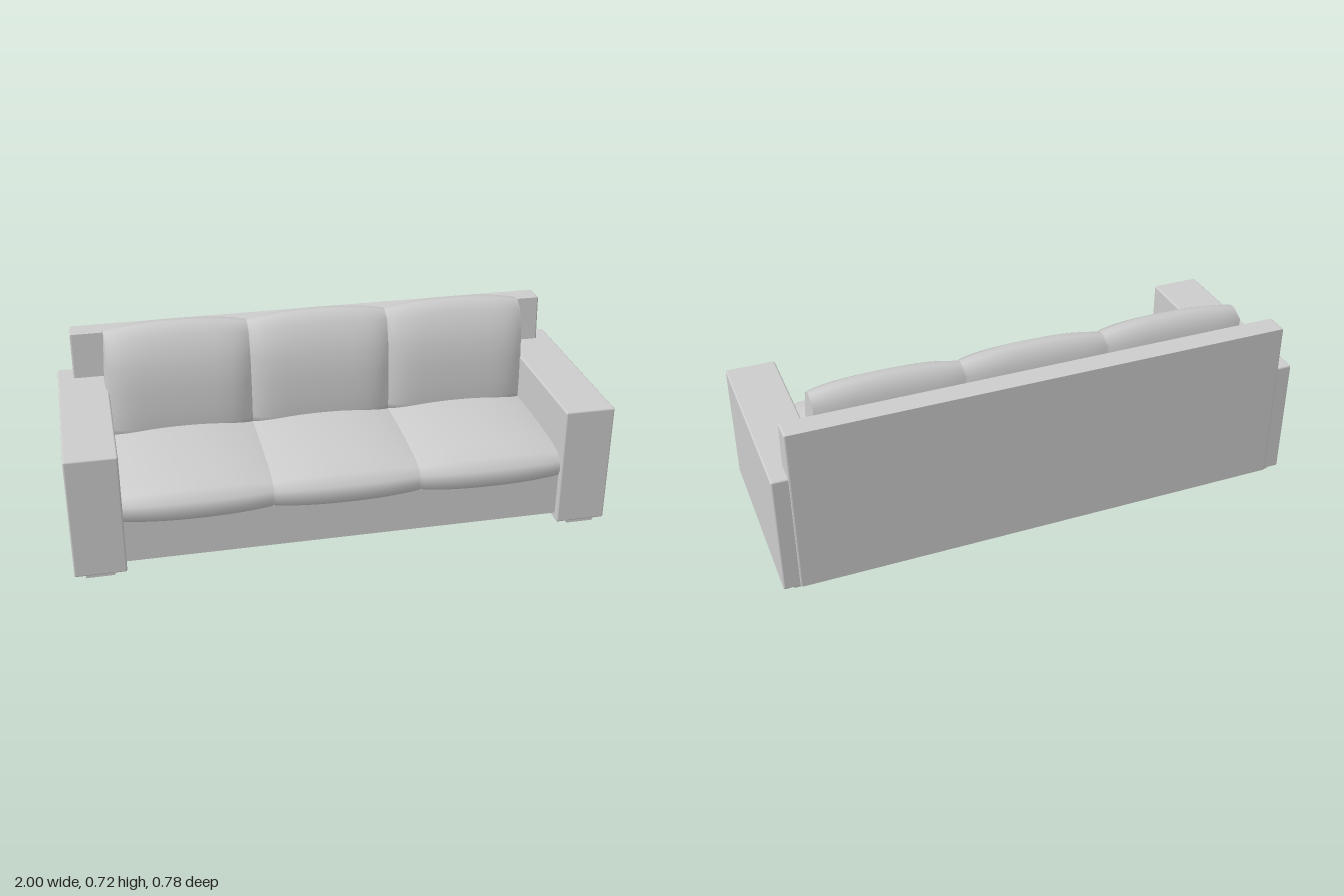
import * as THREE from 'three';
import { RoundedBoxGeometry } from 'three/addons/geometries/RoundedBoxGeometry.js';

const material = new THREE.MeshStandardMaterial({ color: 0xcccccc });

function addMesh(parent, name, geometry) {
  const mesh = new THREE.Mesh(geometry, material);
  mesh.name = name;
  parent.add(mesh);
  return mesh;
}

// Box given by its lower and upper limits, with softened edges when r > 0
function addBox(parent, name, [x0, x1], [y0, y1], [z0, z1], r = 0) {
  const size = [x1 - x0, y1 - y0, z1 - z0];
  const geometry = r ? new RoundedBoxGeometry(...size, 2, r) : new THREE.BoxGeometry(...size);
  addMesh(parent, name, geometry).position.set((x0 + x1) / 2, (y0 + y1) / 2, (z0 + z1) / 2);
}

// Cushion lofted along x: swells from the edge outline to the middle outline.
// Outlines are [z, y] points running from the front bottom over the top to the back.
// A higher depthPower keeps the front flat for longer before it rounds off at the ends.
function cushionGeometry(middle, edge, halfWidth, depthPower, capBulge) {
  const steps = 24, n = middle.length;
  const positions = [], indices = [];
  for (let i = 0; i <= steps; i++) {
    const u = -Math.cos((i / steps) * Math.PI);
    const swellZ = 1 - Math.abs(u) ** depthPower;
    const swellY = 1 - Math.abs(u) ** 2.3;
    for (let j = 0; j < n; j++) {
      const z = THREE.MathUtils.lerp(edge[j][0], middle[j][0], swellZ);
      const y = THREE.MathUtils.lerp(edge[j][1], middle[j][1], swellY);
      positions.push(u * halfWidth, y, z);
    }
  }
  for (let i = 0; i < steps; i++) {
    for (let j = 0; j < n; j++) {
      const a = i * n + j, b = i * n + (j + 1) % n;
      indices.push(a, a + n, b, b, a + n, b + n);
    }
  }
  // Slightly domed end caps with their own vertices, so the seam stays crisp
  const cz = edge.reduce((s, p) => s + p[0], 0) / n;
  const cy = edge.reduce((s, p) => s + p[1], 0) / n;
  for (const side of [-1, 1]) {
    const start = positions.length / 3;
    for (const [z, y] of edge) positions.push(side * halfWidth, y, z);
    positions.push(side * (halfWidth + capBulge), cy, cz);
    for (let j = 0; j < n; j++) {
      const a = start + j, b = start + (j + 1) % n, c = start + n;
      if (side > 0) indices.push(b, a, c);
      else indices.push(a, b, c);
    }
  }
  const geometry = new THREE.BufferGeometry();
  geometry.setAttribute('position', new THREE.Float32BufferAttribute(positions, 3));
  geometry.setIndex(indices);
  geometry.computeVertexNormals();
  return geometry;
}

export function createModel() {
  const sofa = new THREE.Group();
  sofa.name = 'sofa';

  // Base between the arms
  addBox(sofa, 'base', [-0.82, 0.82], [0.04, 0.205], [-0.3, 0.352]);

  // Arms and the runners they stand on
  for (const [side, s] of [['left', 1], ['right', -1]]) {
    const span = (a, b) => (s > 0 ? [a, b] : [-b, -a]);
    addBox(sofa, side + 'Arm', span(0.812, 1), [0.012, 0.48], [-0.382, 0.378], 0.007);
    addBox(sofa, side + 'Runner', span(0.855, 0.96), [0, 0.02], [-0.37, 0.37]);
  }

  // Backrest: upright behind, leaning front
  const bevel = 0.006;
  const outline = new THREE.Shape([
    [0.382, 0.018], [0.382, 0.65], [0.308, 0.65], [0.266, 0.018],
  ].map(([x, y]) => new THREE.Vector2(x, y)));
  const depth = 1.88 - 2 * bevel;
  const back = new THREE.ExtrudeGeometry(outline, {
    depth, bevelEnabled: true, bevelSize: bevel, bevelThickness: bevel, bevelSegments: 2,
  });
  back.translate(0, 0, -depth / 2);
  back.rotateY(Math.PI / 2);
  addMesh(sofa, 'backrest', back);

  // Seat and back cushion outlines as [z, y]
  const seatMiddle = [
    [0.33, 0.186], [0.37, 0.2], [0.389, 0.235], [0.379, 0.27], [0.345, 0.305], [0.27, 0.325],
    [0.12, 0.335], [-0.05, 0.335], [-0.2, 0.328], [-0.27, 0.3], [-0.27, 0.2],
  ];
  const seatEdge = [
    [0.33, 0.198], [0.354, 0.208], [0.365, 0.237], [0.359, 0.265], [0.333, 0.29], [0.26, 0.302],
    [0.12, 0.308], [-0.05, 0.308], [-0.2, 0.303], [-0.26, 0.285], [-0.26, 0.21],
  ];
  const backMiddle = [
    [-0.1, 0.285], [-0.095, 0.33], [-0.096, 0.4], [-0.102, 0.48], [-0.114, 0.57], [-0.155, 0.685],
    [-0.21, 0.719], [-0.238, 0.719], [-0.294, 0.678], [-0.286, 0.57], [-0.279, 0.48], [-0.26, 0.3],
  ];
  const backEdge = [
    [-0.13, 0.295], [-0.127, 0.33], [-0.127, 0.4], [-0.133, 0.48], [-0.143, 0.57], [-0.173, 0.668],
    [-0.212, 0.693], [-0.236, 0.694], [-0.283, 0.668], [-0.277, 0.57], [-0.27, 0.48], [-0.25, 0.31],
  ];
  const pitch = 0.543;
  const seatGeometry = cushionGeometry(seatMiddle, seatEdge, pitch / 2, 2.3, 0);
  const backGeometry = cushionGeometry(backMiddle, backEdge, pitch / 2, 6, 0.012);
  ['right', 'middle', 'left'].forEach((place, i) => {
    const x = (i - 1) * pitch;
    addMesh(sofa, place + 'SeatCushion', seatGeometry).position.x = x;
    addMesh(sofa, place + 'BackCushion', backGeometry).position.x = x;
  });

  return sofa;
}
